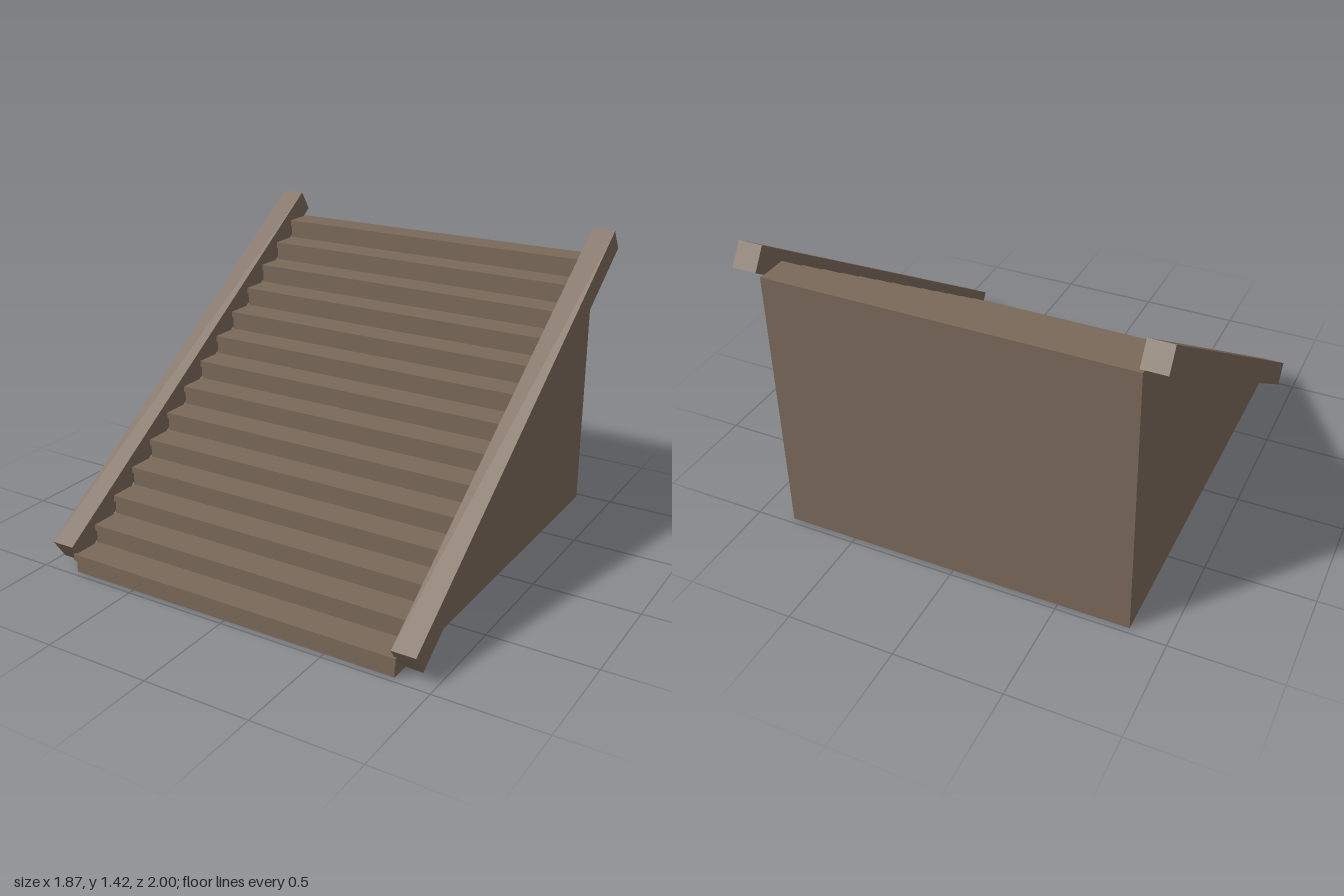
import * as THREE from 'three';

export function createModel() {
  const group = new THREE.Group();
  group.name = 'staircase';
  const wood = new THREE.MeshStandardMaterial({ color: 0x7a6959 });
  wood.name = 'brown wood';

  const add = (name, geometry, x, y, z) => {
    const mesh = new THREE.Mesh(geometry, wood);
    mesh.name = name;
    mesh.position.set(x, y, z);
    group.add(mesh);
    return mesh;
  };

  const steps = 14, front = 0.972, back = -0.972, top = 1.29;
  const run = (front - back) / steps, rise = top / steps;
  const halfWidth = 0.828;

  // Solid stepped body: profile drawn as (-z, y), then extruded across x
  const profile = new THREE.Shape();
  profile.moveTo(-front, 0);
  profile.lineTo(-back, 0);
  profile.lineTo(-back, top);
  for (let i = steps - 1; i >= 0; i--) {
    profile.lineTo(-front + i * run, (i + 1) * rise);
    if (i > 0) profile.lineTo(-front + i * run, i * rise);
  }
  const body = new THREE.ExtrudeGeometry(profile, { depth: halfWidth * 2, bevelEnabled: false });
  body.translate(0, 0, -halfWidth).rotateY(Math.PI / 2);
  add('stairBody', body, 0, 0, 0);

  // Overhanging nosing on the front edge of each tread
  const nosing = new THREE.BoxGeometry(1.672, 0.03, 0.03);
  for (let i = 0; i < steps; i++) {
    add('treadNosing', nosing, 0, (i + 1) * rise - 0.0148, front - i * run - 0.005);
  }

  // Sloping side rails
  const rail = new THREE.BoxGeometry(0.112, 0.116, 2.324);
  for (const side of [-1, 1]) {
    const mesh = add(side > 0 ? 'leftRail' : 'rightRail', rail, side * 0.88, 0.73, 0);
    mesh.rotation.x = Math.atan2(rise, run);
  }
  return group;
}
